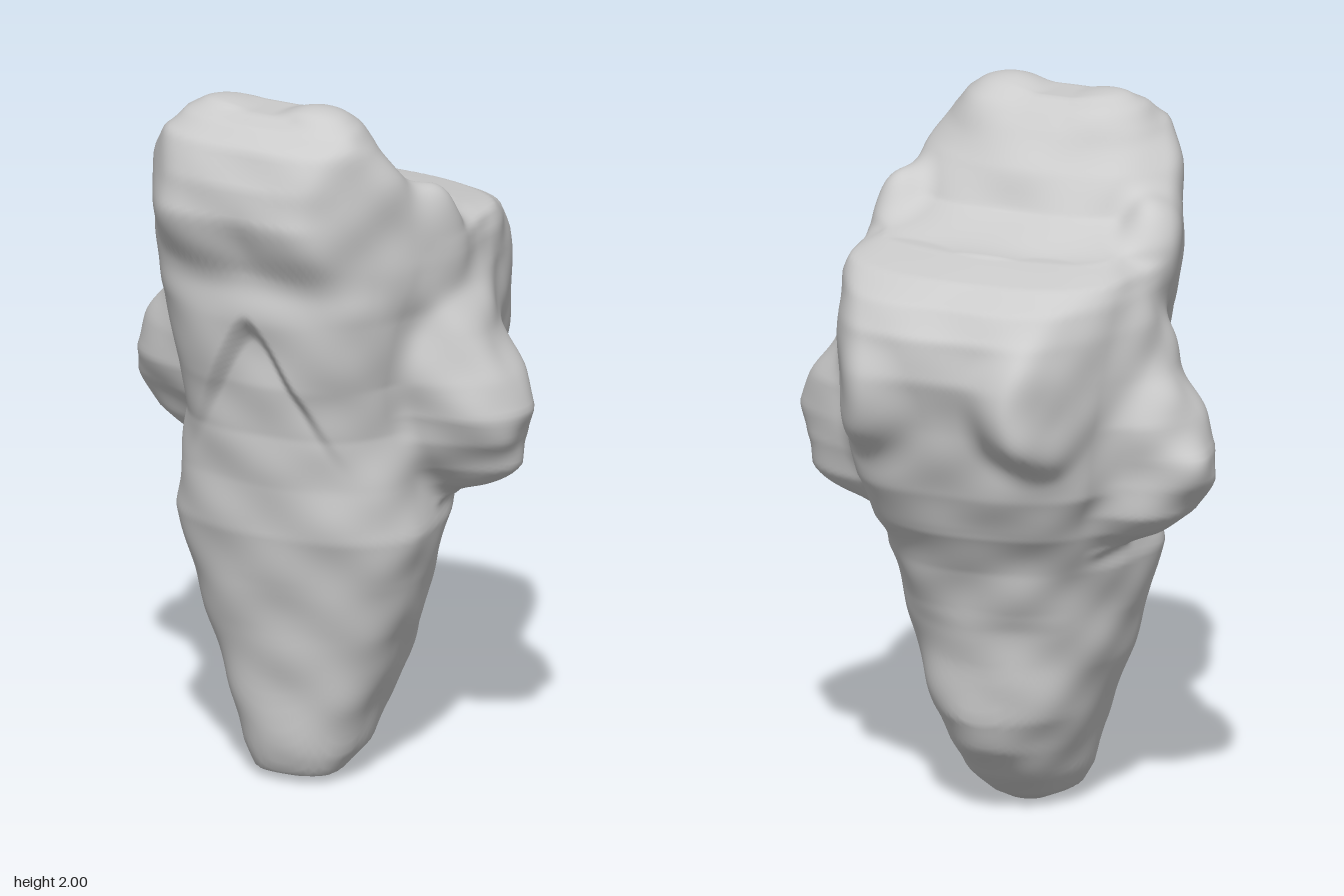
import * as THREE from 'three';
import { mergeVertices } from 'three/addons/utils/BufferGeometryUtils.js';

// Cross-sections: [y, half width, front z, back z]
const COLUMN = [
  [0.005, 0.06, 0.2, 0.07], [0.03, 0.12, 0.29, 0.02], [0.1, 0.17, 0.31, -0.06],
  [0.2, 0.2, 0.32, -0.15], [0.3, 0.235, 0.33, -0.2], [0.45, 0.29, 0.345, -0.2],
  [0.6, 0.335, 0.37, -0.22], [0.75, 0.37, 0.4, -0.26], [0.9, 0.35, 0.41, -0.3],
  [1.05, 0.33, 0.43, -0.3], [1.2, 0.33, 0.475, -0.3], [1.4, 0.37, 0.5, -0.3],
  [1.55, 0.43, 0.51, -0.25], [1.7, 0.44, 0.56, 0.03], [1.8, 0.385, 0.55, 0.09],
  [1.9, 0.31, 0.51, 0.17], [1.95, 0.24, 0.45, 0.22], [1.97, 0.17, 0.39, 0.26],
];
const REAR = [
  [0.62, 0.18, 0.1, -0.19], [0.75, 0.24, 0.1, -0.25], [0.87, 0.31, 0.1, -0.34],
  [1, 0.37, 0.12, -0.4], [1.2, 0.4, 0.15, -0.46], [1.35, 0.42, 0.15, -0.51],
  [1.47, 0.43, 0.15, -0.5], [1.55, 0.42, 0.15, -0.44], [1.6, 0.4, 0.13, -0.34],
  [1.63, 0.34, 0.1, -0.18],
];
const LOBES = [
  [0.82, 0.38, 0, -0.17], [0.87, 0.48, 0.04, -0.21], [0.93, 0.565, 0.08, -0.24],
  [1.02, 0.615, 0.13, -0.26], [1.1, 0.63, 0.16, -0.27], [1.2, 0.585, 0.18, -0.29],
  [1.32, 0.515, 0.19, -0.29], [1.45, 0.455, 0.19, -0.29], [1.58, 0.4, 0.17, -0.26],
];

// Approximate distance to a stack of superellipse cross-sections;
// "wide" is where the widest point lies between back (0) and front (1)
function stack(rows, n, wide, x, y, z) {
  const last = rows.length - 1;
  const yc = THREE.MathUtils.clamp(y, rows[0][0], rows[last][0]);
  let i = 0;
  while (i < last - 1 && rows[i + 1][0] < yc) i++;
  const a = rows[i], b = rows[i + 1];
  const t = (yc - a[0]) / (b[0] - a[0]);
  const mix = (k) => a[k] + (b[k] - a[k]) * t;
  const w = mix(1), front = mix(2), back = mix(3);
  const mid = back + (front - back) * wide;
  const d = z > mid ? front - mid : mid - back;
  const q = (Math.abs(x / w) ** n + Math.abs((z - mid) / d) ** n) ** (1 / n);
  const side = (q - 1) * Math.min(w, (front - back) / 2), end = Math.abs(y - yc);
  return end > 0 ? Math.hypot(Math.max(side, 0), end) : side;
}

function ellipsoid(x, y, z, cx, cy, cz, rx, ry, rz) {
  return (Math.hypot((x - cx) / rx, (y - cy) / ry, (z - cz) / rz) - 1) * Math.min(rx, ry, rz);
}

// Smooth union and smooth intersection
function blend(a, b, k) {
  const h = Math.max(k - Math.abs(a - b), 0) / k;
  return Math.min(a, b) - h * h * k * 0.25;
}
const trim = (a, b, k) => -blend(-a, -b, k);

const gauss = (x, y, sx, sy) => Math.exp(-((x / sx) ** 2) - (y / sy) ** 2);

// Blended field of the whole bone: negative inside
function field(x, y, z) {
  const ax = Math.abs(x), left = x > 0;
  let d = blend(stack(COLUMN, 2.3, 0.64, x, y, z), stack(REAR, 2.7, 0.5, x, y, z), 0.07);

  // rear corners (the right one larger), head knobs and crown bumps
  d = blend(d, ellipsoid(ax, y, z, 0.24, 1.29, left ? -0.36 : -0.405, 0.15, 0.17, 0.155), 0.07);
  d = blend(d, ellipsoid(ax, y, z, 0.37, 1.62, 0.12, 0.08, 0.13, 0.1), 0.06);
  d = blend(d, ellipsoid(ax, y, z, 0.15, left ? 1.9 : 1.885, 0.33, 0.12, 0.1, 0.12), 0.04);

  // the plan narrows towards the front (less on the right) and the back
  const ease = 0.025 * THREE.MathUtils.smoothstep(-x, -0.1, 0.1);
  d = trim(d, 0.906 * ax + 0.423 * z - 0.46 - ease, 0.05);
  d = trim(d, 0.737 * ax + 0.676 * z - 0.52 - ease, 0.05);
  d = trim(d, 0.889 * ax - 0.457 * z - 0.48, 0.05);

  // side lobes, the left one further forward
  d = blend(d, stack(LOBES, 2.5, 0.5, x, y, z - 0.05 - 0.055 * x), 0.05);

  // front relief: brow bumps, recess below them, arched hollow
  if (z > 0.2) {
    const f = Math.min(1, (z - 0.2) / 0.15);
    d -= f * 0.018 * gauss(ax - 0.18, y - 1.67, 0.1, 0.09);
    d += f * 0.015 * gauss(x, y - 1.63, 0.06, 0.08);
    d += f * 0.025 * gauss(x, y - 1.5, 0.3, 0.06);
    const arch = 1.46 - Math.hypot(x, 0.035) * 2 - y;
    const rim = THREE.MathUtils.smoothstep(arch, -0.03, 0.06);
    d += f * rim * 0.05 * THREE.MathUtils.smoothstep(y, 0.93, 1.3);
  }
  // shallow hollow between the rear corners
  if (z < -0.3) d += Math.min(1, (-0.3 - z) / 0.1) * 0.015 * gauss(x + 0.03, y - 1.4, 0.12, 0.16);

  // uneven surface
  d += 0.004 * Math.sin(9 * x + 2) * Math.sin(12 * y + 1) * Math.sin(10 * z + 1)
    + 0.004 * Math.sin(19 * x + 1) * Math.sin(23 * y + 6 * z)
    + 0.003 * Math.sin(27 * y + 9 * x) * Math.sin(24 * z - 8 * x);
  return d;
}

export function createModel() {
  const group = new THREE.Group();

  // Shrink a dense sphere onto the field along rays from the core
  let geo = new THREE.IcosahedronGeometry(1, 60);
  geo.deleteAttribute('normal');
  geo.deleteAttribute('uv');
  geo = mergeVertices(geo, 1e-5);
  const pos = geo.attributes.position;
  const core = new THREE.Vector3(0, 1.15, 0.06);
  const dir = new THREE.Vector3();
  for (let i = 0; i < pos.count; i++) {
    dir.fromBufferAttribute(pos, i);
    dir.y *= 1.5;
    dir.normalize();
    const at = (r) => field(core.x + dir.x * r, core.y + dir.y * r, core.z + dir.z * r);
    let hi = 1.3;
    while (hi > 0.1 && at(hi - 0.02) > 0) hi -= 0.02;
    let lo = hi - 0.02;
    for (let k = 0; k < 12; k++) {
      const m = (lo + hi) / 2;
      if (at(m) > 0) hi = m; else lo = m;
    }
    pos.setXYZ(i, core.x + dir.x * hi, core.y + dir.y * hi, core.z + dir.z * hi);
  }

  // Stand it on the ground, centred
  geo.computeBoundingBox();
  const mid = geo.boundingBox.getCenter(new THREE.Vector3());
  geo.translate(-mid.x, -geo.boundingBox.min.y, -mid.z);
  geo.computeVertexNormals();

  const bone = new THREE.Mesh(geo, new THREE.MeshStandardMaterial({ color: 0xcccccc }));
  bone.name = 'boneBody';
  group.add(bone);
  return group;
}
